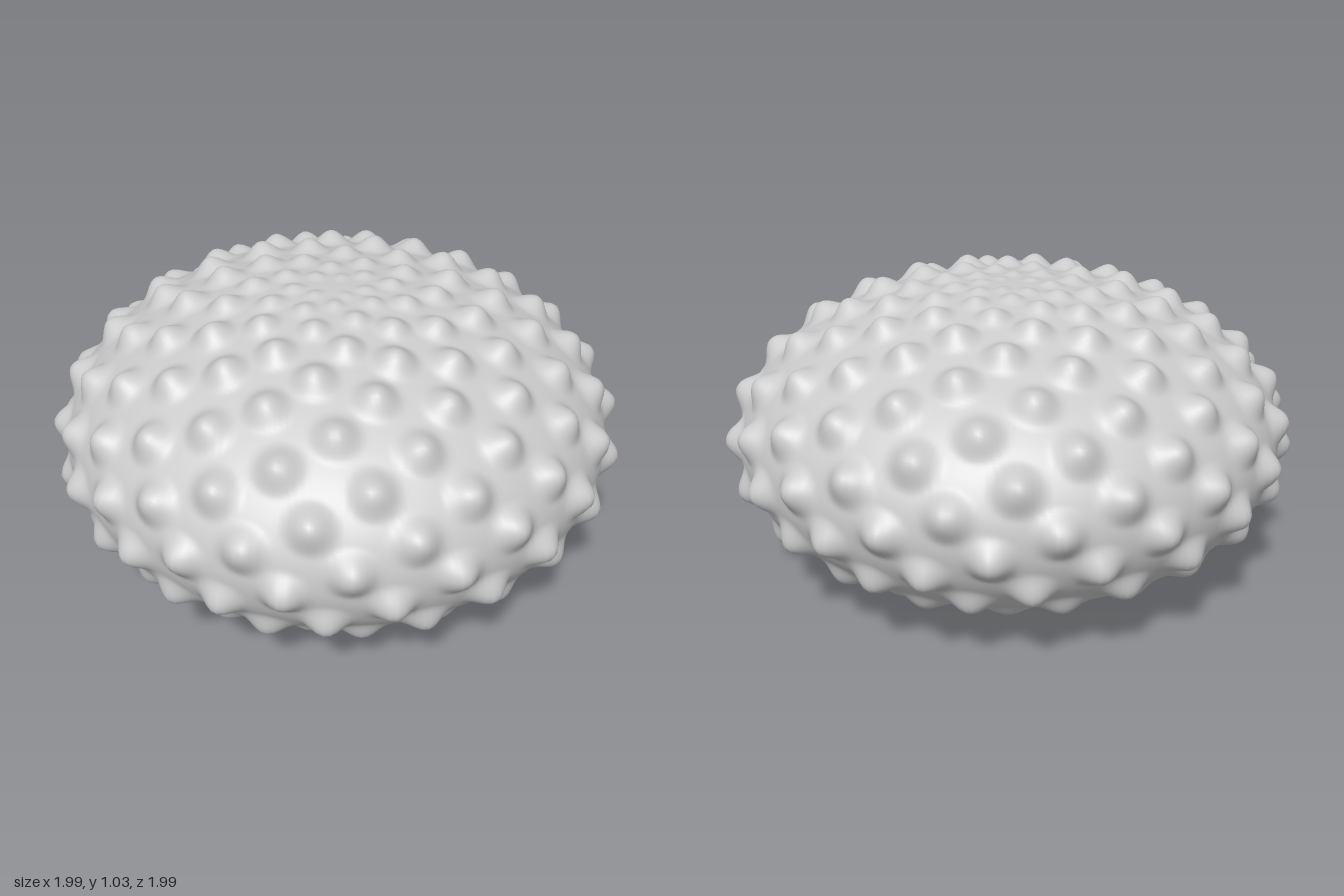
import * as THREE from 'three';
import { mergeVertices, toCreasedNormals } from 'three/addons/utils/BufferGeometryUtils.js';

const RADIUS = 0.95, HALF_HEIGHT = 0.515, CENTRE_Y = 0.507, HOLE = 0.2;
const AMP = 0.05, BUMP_WIDTH = 0.092;
const GOLDEN = THREE.MathUtils.degToRad(137.508);

// Point on the flattened shell at polar angle t (0 = top) and azimuth a
const shellPoint = (t, a) => new THREE.Vector3(
  RADIUS * Math.sin(t) * Math.sin(a),
  CENTRE_Y + HALF_HEIGHT * Math.cos(t),
  RADIUS * Math.sin(t) * Math.cos(a));

// Bumps follow a golden-angle spiral from the top, small at the pole, fading out below
function makeBumps() {
  const bumps = [];
  for (let i = 0; i < 227; i++) {
    const t = 0.07 + 0.012 * i;
    const size = Math.min(1, Math.sqrt(RADIUS * Math.sin(t) / 0.45));
    const fade = 1 - THREE.MathUtils.smoothstep(t, 1.75, 2.8);
    bumps.push({
      centre: shellPoint(t, i * GOLDEN - 0.03),
      width: BUMP_WIDTH * size,
      height: AMP * size * size * fade,
    });
  }
  return bumps;
}

function shellGeometry() {
  const rows = 180, bottom = Math.PI - Math.asin(HOLE / RADIUS);
  const profile = [];
  for (let i = 0; i <= rows; i++) {
    const t = bottom * (1 - i / rows);
    const p = shellPoint(t, Math.PI / 2);
    profile.push(new THREE.Vector2(Math.max(p.x, 0), p.y));
  }
  profile[0].y = 0;
  let geo = new THREE.LatheGeometry(profile, 280);
  geo.deleteAttribute('uv');
  geo.deleteAttribute('normal');
  geo = mergeVertices(geo, 1e-5);

  // Push every vertex outward along the shell normal by the bumps around it
  const bumps = makeBumps();
  const pos = geo.attributes.position;
  const v = new THREE.Vector3(), n = new THREE.Vector3();
  for (let i = 0; i < pos.count; i++) {
    v.fromBufferAttribute(pos, i);
    let lift = 0;
    for (const b of bumps) {
      const d = v.distanceTo(b.centre) / b.width;
      if (d < 1) lift += b.height * 0.5 * (1 + Math.cos(Math.PI * d));
    }
    n.set(v.x / RADIUS ** 2, (v.y - CENTRE_Y) / HALF_HEIGHT ** 2, v.z / RADIUS ** 2).normalize();
    v.addScaledVector(n, lift);
    pos.setXYZ(i, v.x, v.y, v.z);
  }
  geo.computeVertexNormals();
  return geo;
}

export function createModel() {
  const group = new THREE.Group();
  group.name = 'bumpyShell';
  const material = new THREE.MeshStandardMaterial({ color: 0xcccccc });

  const shell = new THREE.Mesh(shellGeometry(), material);
  shell.name = 'shell';

  // Round socket opening in the underside, facing inward
  const socketProfile = [[0, 0.45], [HOLE, 0.45], [HOLE, 0]].map(([x, y]) => new THREE.Vector2(x, y));
  const socket = new THREE.Mesh(
    toCreasedNormals(new THREE.LatheGeometry(socketProfile, 96), 0.6), material);
  socket.name = 'socket';

  group.add(shell, socket);
  return group;
}
